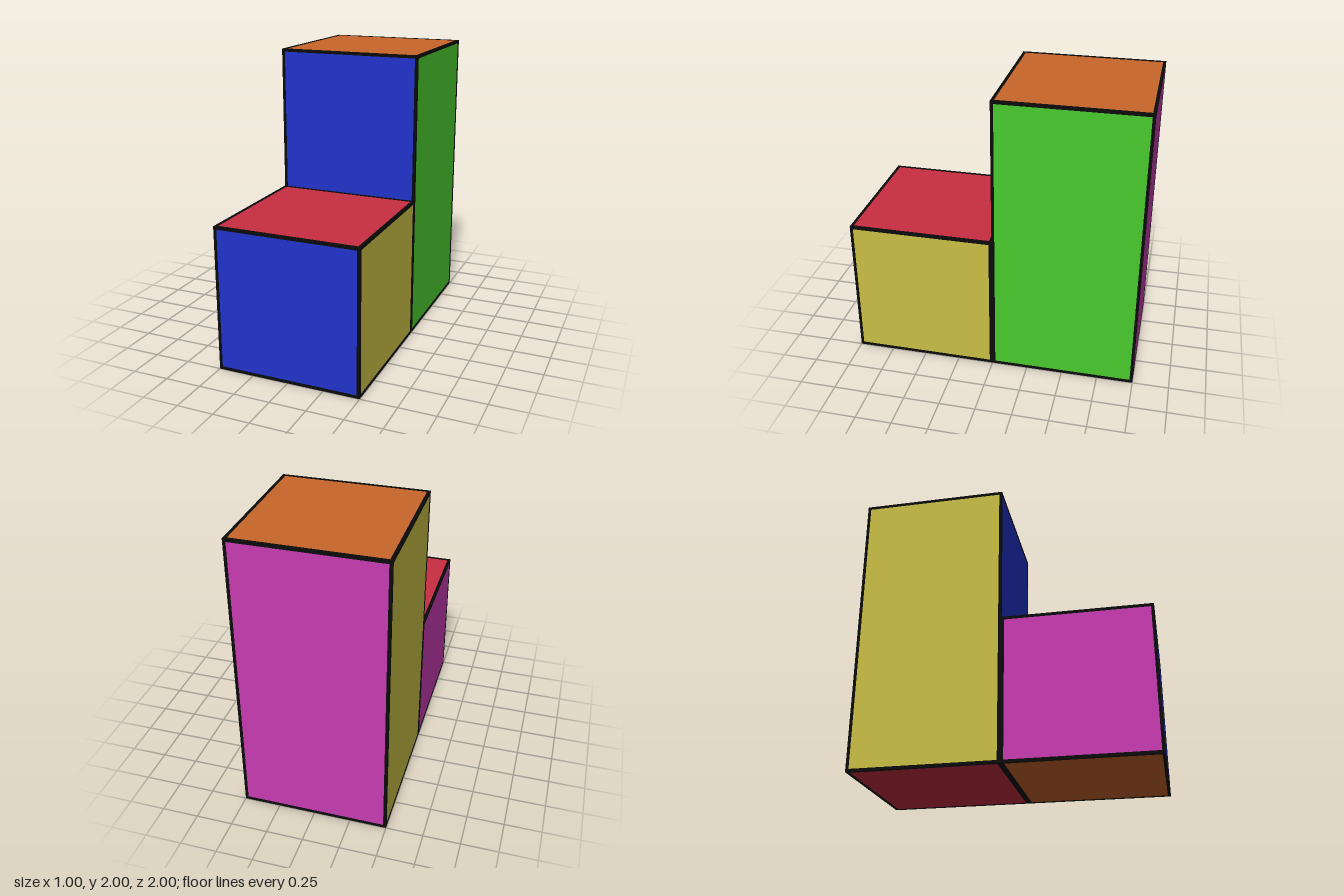
import * as THREE from 'three';

const BLUE = 0x2233cc, YELLOW = 0xc9bf45, GREEN = 0x4acb2d, ORANGE = 0xc96629,
  RED = 0xc92e42, PURPLE = 0xc93bb2, BLACK = 0x0a0a0a;
const EDGE = 0.02;   // thickness of the outline bars
const INSET = 0.003; // how far faces sit behind the bars

const paint = (color) => new THREE.MeshStandardMaterial({ color });

// Block with one colour per face (+x, -x, +y, -y, +z, -z) and a bar along each edge
function outlinedBlock(name, size, center, colors) {
  const block = new THREE.Group();
  block.name = name;
  block.position.set(...center);

  const faces = new THREE.Mesh(
    new THREE.BoxGeometry(...size.map((s) => s - 2 * INSET)), colors.map(paint));
  faces.name = name + 'Faces';
  block.add(faces);

  const black = paint(BLACK);
  for (let axis = 0; axis < 3; axis++) {
    const u = (axis + 1) % 3, v = (axis + 2) % 3;
    const dims = [EDGE, EDGE, EDGE];
    dims[axis] = size[axis];
    const geometry = new THREE.BoxGeometry(...dims);
    for (const su of [-1, 1]) for (const sv of [-1, 1]) {
      const p = [0, 0, 0];
      p[u] = su * (size[u] - EDGE) / 2;
      p[v] = sv * (size[v] - EDGE) / 2;
      const bar = new THREE.Mesh(geometry, black);
      bar.name = name + 'Edge';
      bar.position.set(...p);
      block.add(bar);
    }
  }
  return block;
}

export function createModel() {
  const model = new THREE.Group();
  model.name = 'steppedBlocks';
  model.add(
    // low cube in front
    outlinedBlock('lowBlock', [1, 1, 1], [0, 0.5, 0.5],
      [YELLOW, PURPLE, RED, ORANGE, BLUE, PURPLE]),
    // tall prism behind
    outlinedBlock('tallBlock', [1, 2, 1], [0, 1, -0.5],
      [GREEN, YELLOW, ORANGE, RED, BLUE, PURPLE]),
  );
  return model;
}
